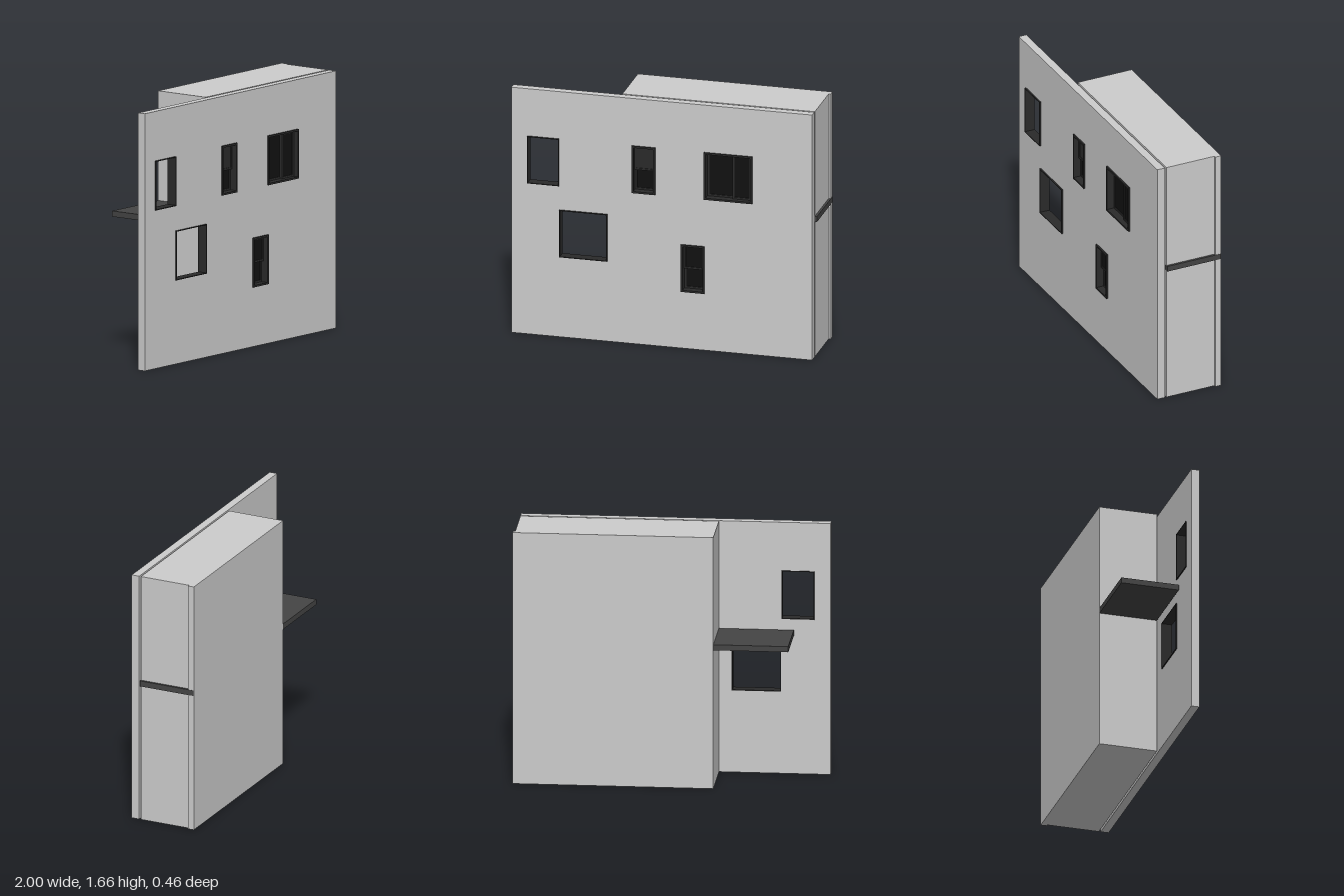
import * as THREE from 'three';

const grey = new THREE.MeshStandardMaterial({ color: 0xcccccc });
const slabDark = new THREE.MeshStandardMaterial({ color: 0x444444 });
const frameDark = new THREE.MeshStandardMaterial({ color: 0x2a2a2a });
const glassDark = new THREE.MeshStandardMaterial({ color: 0x111111 });

const H = 1.665;

// Box given by its extents
function box(name, x0, x1, y0, y1, z0, z1, material) {
  const mesh = new THREE.Mesh(new THREE.BoxGeometry(x1 - x0, y1 - y0, z1 - z0), material);
  mesh.position.set((x0 + x1) / 2, (y0 + y1) / 2, (z0 + z1) / 2);
  mesh.name = name;
  return mesh;
}

function rect(Type, x0, x1, y0, y1) {
  const p = new Type();
  p.moveTo(x0, y0);
  p.lineTo(x1, y0);
  p.lineTo(x1, y1);
  p.lineTo(x0, y1);
  p.closePath();
  return p;
}

// Upright plate with rectangular holes
function plate(name, outer, holes, z0, z1, material) {
  const shape = rect(THREE.Shape, ...outer);
  holes.forEach((h) => shape.holes.push(rect(THREE.Path, ...h)));
  const geometry = new THREE.ExtrudeGeometry(shape, { depth: z1 - z0, bevelEnabled: false });
  geometry.translate(0, 0, z0);
  const mesh = new THREE.Mesh(geometry, material);
  mesh.name = name;
  return mesh;
}

const inset = ([x0, x1, y0, y1], d) => [x0 + d, x1 - d, y0 + d, y1 - d];

// Sash frame with a pane set in it
function sash(name, r, z, paneMaterial) {
  const group = new THREE.Group();
  group.name = name;
  const inner = inset(r, 0.012);
  group.add(plate('sashFrame', r, [inner], z, z + 0.014, frameDark));
  group.add(box('pane', ...inner, z + 0.004, z + 0.009, paneMaterial));
  return group;
}

// Openings as [x0, x1, y0, y1]
const openings = [
  { name: 'upperOpening', r: [-0.895, -0.685, 1.025, 1.345] },
  { name: 'lowerOpening', r: [-0.683, -0.367, 0.543, 0.863] },
  { name: 'upperHungWindow', r: [-0.205, -0.05, 1.025, 1.345], split: 'y', at: 1.18, pane: frameDark },
  { name: 'slidingWindow', r: [0.272, 0.59, 1.025, 1.345], split: 'x', at: 0.46, pane: glassDark },
  { name: 'lowerHungWindow', r: [0.12, 0.275, 0.385, 0.705], split: 'y', at: 0.54, pane: glassDark },
];

export function createModel() {
  const model = new THREE.Group();
  model.name = 'wallModel';

  // Front wall with its openings
  model.add(plate('frontWall', [-1, 0.985, 0, H], openings.map((o) => o.r), 0.165, 0.218, grey));

  // Dark linings, and sashes where the opening is glazed
  for (const { name, r, split, at, pane } of openings) {
    const group = new THREE.Group();
    group.name = name;
    const lining = inset(r, split ? 0.012 : 0.005);
    group.add(plate('lining', r, [lining], 0.159, 0.228, frameDark));
    if (split) {
      const [x0, x1, y0, y1] = lining;
      const o = 0.006;
      const first = split === 'y' ? [x0, x1, y0, at + o] : [x0, at + o, y0, y1];
      const second = split === 'y' ? [x0, x1, at - o, y1] : [at - o, x1, y0, y1];
      group.add(sash('innerSash', first, 0.165, glassDark));
      group.add(sash('outerSash', second, 0.18, pane));
    }
    model.add(group);
  }

  // Deep block behind the wall, with a back panel that oversails its side
  model.add(box('rearBlock', -0.285, 0.985, 0, H, -0.19, 0.153, grey));
  model.add(box('backPanel', -0.285, 0.9985, 0, H, -0.23, -0.19, grey));

  // Floor slab running through the block and out past it
  model.add(box('floorSlab', -0.765, 1, 0.918, 0.955, -0.229, 0.153, slabDark));

  return model;
}
